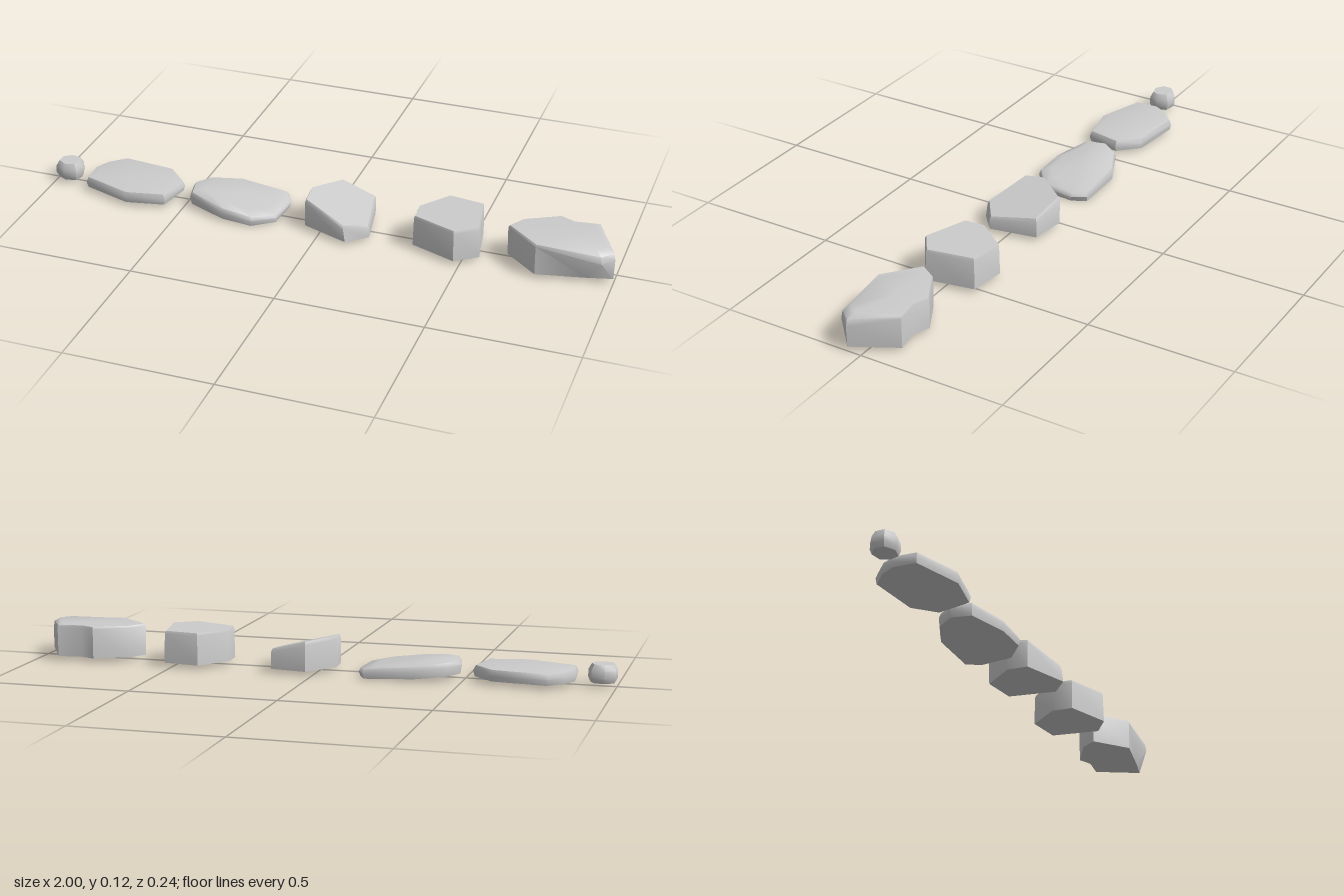
import * as THREE from 'three';
import { toCreasedNormals } from 'three/addons/utils/BufferGeometryUtils.js';

const material = new THREE.MeshStandardMaterial({ color: 0xcccccc });

// A stone: an outline of [x, z] corners (clockwise from above) stacked in rings.
// Each ring is [scale, height(x, z), optional shift(x, z) giving [dx, dz]].
function stone(name, outline, rings) {
  const n = outline.length;
  const cx = outline.reduce((s, p) => s + p[0], 0) / n;
  const cz = outline.reduce((s, p) => s + p[1], 0) / n;
  const pos = [], index = [];
  for (const [scale, height, shift] of rings) {
    for (const [x, z] of outline) {
      const [dx, dz] = shift ? shift(x, z) : [0, 0];
      pos.push(cx + (x - cx) * scale + dx, height(x, z), cz + (z - cz) * scale + dz);
    }
  }
  const last = rings.length - 1, bottom = n * rings.length, top = bottom + 1;
  pos.push(cx, rings[0][1](cx, cz), cz, cx, rings[last][1](cx, cz), cz);
  for (let i = 0; i < n; i++) {
    const j = (i + 1) % n;
    for (let r = 0; r < last; r++) {
      const a = r * n, b = a + n;
      index.push(a + i, b + i, b + j, a + i, b + j, a + j);
    }
    index.push(bottom, i, j, top, last * n + j, last * n + i);
  }
  const geometry = new THREE.BufferGeometry();
  geometry.setAttribute('position', new THREE.Float32BufferAttribute(pos, 3));
  geometry.setIndex(index);
  const mesh = new THREE.Mesh(toCreasedNormals(geometry, 0.85), material);
  mesh.name = name;
  return mesh;
}

const flat = (y) => () => y;

export function createModel() {
  const group = new THREE.Group();
  group.name = 'steppingStones';

  // Small rounded pebble
  group.add(stone('pebble', [
    [-1, -0.02], [-0.965, -0.045], [-0.92, -0.037], [-0.905, 0],
    [-0.917, 0.035], [-0.96, 0.045], [-1, 0.022],
  ], [[0.85, flat(0.014)], [1, flat(0.03)], [0.98, flat(0.055)], [0.75, flat(0.075)]]));

  // Thin level slab
  group.add(stone('flatSlab', [
    [-0.87, -0.02], [-0.845, -0.07], [-0.79, -0.12], [-0.6, -0.1], [-0.53, -0.03],
    [-0.555, 0.09], [-0.69, 0.117], [-0.865, 0.06],
  ], [[0.97, flat(0.014)], [1, flat(0.034)], [0.95, flat(0.052)], [0.8, flat(0.056)]]));

  // Thin slab tilted down to one side
  const tilt = (y, slope) => (x) => y - slope * (x + 0.49);
  group.add(stone('tiltedSlab', [
    [-0.49, -0.015], [-0.45, -0.075], [-0.35, -0.12], [-0.175, -0.115], [-0.15, -0.065],
    [-0.16, 0.05], [-0.23, 0.11], [-0.34, 0.105], [-0.475, 0.055],
  ], [[0.97, tilt(0.017, 0.05)], [1, tilt(0.048, 0.09)], [0.95, tilt(0.064, 0.1)],
    [0.7, tilt(0.072, 0.1)]]));

  // Two blocks sharing one outline: a sloped top and a level top
  const block = [[-0.06, -0.015], [0.02, -0.12], [0.145, -0.103], [0.175, 0.062],
    [0.1, 0.115], [-0.055, 0.058]];
  const slope = (x, z) => 0.122 - 0.24 * (x + 0.06) - 0.1 * z;
  const chip = (x, z) => (x > 0.08 && z > 0.1 ? [0.008, 0.004] : [0, 0]);
  group.add(stone('slopedBlock', block,
    [[0.99, flat(0.014), chip], [1, (x, z) => slope(x, z) - 0.012], [0.95, slope]]));
  group.add(stone('levelBlock', block.map(([x, z]) => [x + 0.38, z]),
    [[1, flat(0.014)], [0.98, flat(0.115)], [0.95, flat(0.124)]]));

  // Large boulder: notched back, undercut and lowered front corner
  const isCorner = (x) => x > 0.95;
  const undercut = (x, z) => (isCorner(x) && z > 0.07 ? [-0.05, -0.02] : [0, 0]);
  group.add(stone('boulder', [
    [0.635, 0.01], [0.67, -0.045], [0.785, -0.107], [0.835, -0.085], [0.92, -0.097],
    [1, 0.05], [0.965, 0.092], [0.75, 0.106],
  ], [[0.99, flat(0.014), undercut], [1, (x) => (isCorner(x) ? 0.085 : 0.117)],
    [0.97, (x) => (isCorner(x) ? 0.11 : 0.124)], [0.82, flat(0.125)]]));

  // Lift and drop so the lowest point rests on the ground
  const box = new THREE.Box3().setFromObject(group);
  group.children.forEach((m) => { m.position.y -= box.min.y; });
  return group;
}
